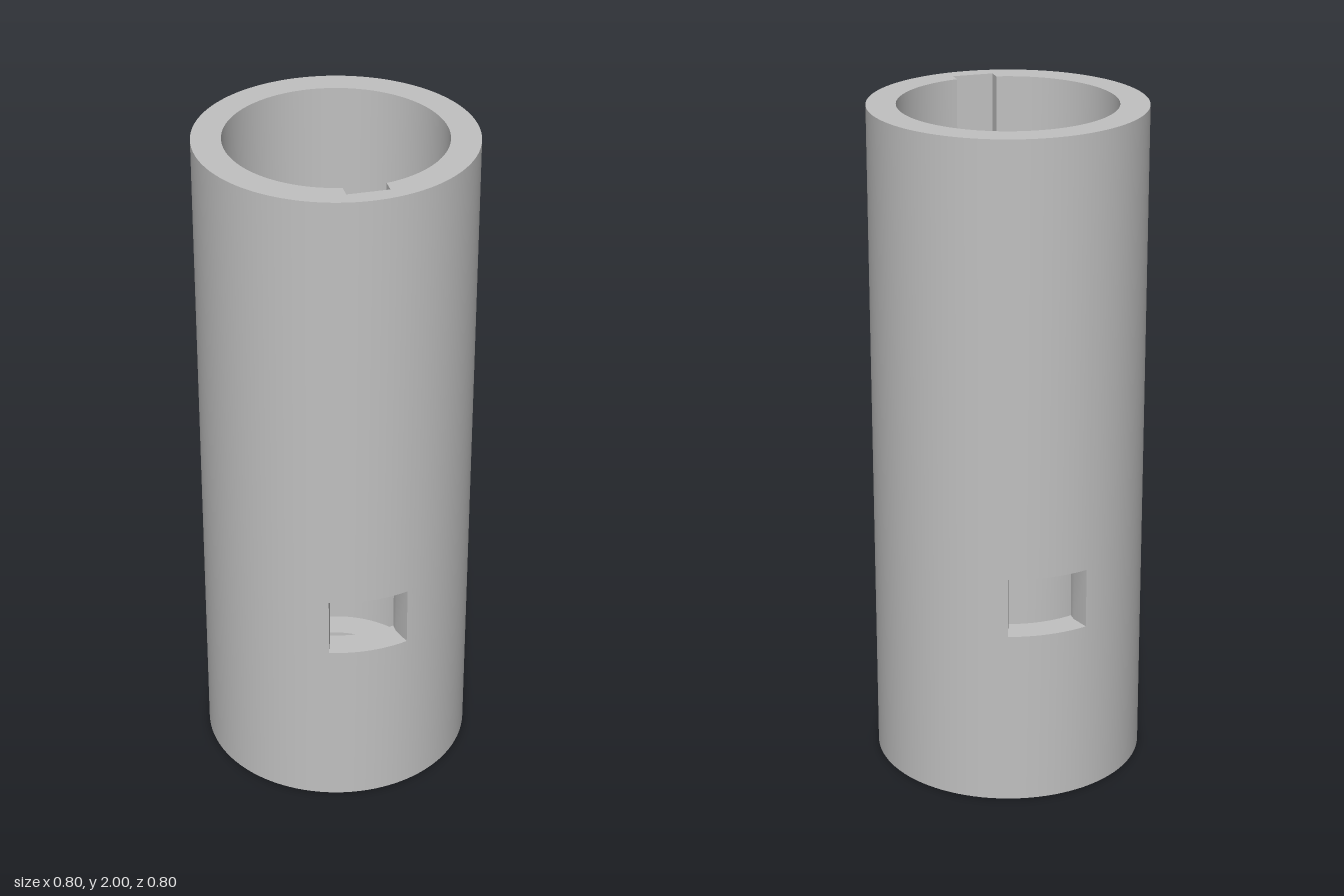
import * as THREE from 'three';
import { toCreasedNormals } from 'three/addons/utils/BufferGeometryUtils.js';

const OUTER = 0.4, BORE = 0.315, SEAT = 0.287, HOLE = 0.2;
const WIN_LOW = 0.53, WIN_HIGH = 0.71;            // window heights
const FLOOR = 0.155, LEDGE = 0.46, KEY_END = 1.0, TOP = 2;
const KEY_X = 0.06, KEY_Z = 0.348;                // keyway half width and depth
const THROAT_X = 0.1, THROAT_Z = 0.325;           // where window sides turn parallel
const w = Math.asin(0.118 / OUTER);               // window half angle outside
const wi = Math.asin(THROAT_X / BORE);            // window half angle at the bore
const k = Math.asin(KEY_X / BORE);                // keyway half angle

// Plan points [x, z]; angle runs from +z towards +x
const pt = (r, t) => [r * Math.sin(t), r * Math.cos(t)];
// Arc without its end point
const arc = (r, a, b, n) => Array.from({ length: n }, (_, i) => pt(r, a + (b - a) * i / n));
const turn = (pts) => pts.map(([x, z]) => [-x, -z]);

export function createModel() {
  const pos = [];

  // Vertical wall along a closed outline, facing outward or inward
  function wall(outline, y0, y1, inward = false) {
    const p = inward ? [...outline].reverse() : outline;
    p.forEach(([ax, az], i) => {
      const [bx, bz] = p[(i + 1) % p.length];
      pos.push(ax, y0, az, bx, y0, bz, bx, y1, bz, ax, y0, az, bx, y1, bz, ax, y1, az);
    });
  }

  // Horizontal face at height y, with an optional hole
  function cap(outline, hole, y, up = true) {
    const flat = (pts) => pts.map(([x, z]) => new THREE.Vector2(x, -z));
    const shape = new THREE.Shape(flat(outline));
    if (hole) shape.holes.push(new THREE.Path(flat(hole)));
    const g = new THREE.ShapeGeometry(shape).toNonIndexed();
    const a = g.attributes.position;
    for (let i = 0; i < a.count; i += 3) {
      for (const j of up ? [i, i + 1, i + 2] : [i, i + 2, i + 1]) pos.push(a.getX(j), y, -a.getY(j));
    }
  }

  // Plan outlines
  const P = Math.PI;
  const outer = [
    ...arc(OUTER, -w, w, 10), ...arc(OUTER, w, P - w, 40),
    ...arc(OUTER, P - w, P + w, 10), ...arc(OUTER, P + w, 2 * P - w, 40),
  ];
  const boreRest = [
    ...arc(BORE, k, wi, 2), ...arc(BORE, wi, P - wi, 40), ...arc(BORE, P - wi, P + wi, 10),
    ...arc(BORE, P + wi, 2 * P - wi, 40), ...arc(BORE, -wi, -k, 2),
  ];
  const bore = [...boreRest, ...arc(BORE, -k, k, 6)];
  const keyedBore = [...boreRest, pt(BORE, -k), [-KEY_X, KEY_Z], [KEY_X, KEY_Z]];
  const seat = arc(SEAT, 0, 2 * P, 96);
  const hole = arc(HOLE, 0, 2 * P, 96);
  const side = [
    ...arc(OUTER, w, P - w, 40), pt(OUTER, P - w), [THROAT_X, -THROAT_Z],
    ...arc(BORE, P - wi, wi, 40), pt(BORE, wi), [THROAT_X, THROAT_Z],
  ];
  const sill = [
    ...arc(OUTER, -w, w, 10), pt(OUTER, w), [THROAT_X, THROAT_Z],
    ...arc(BORE, wi, k, 2), ...arc(BORE, k, -k, 6), ...arc(BORE, -k, -wi, 2),
    pt(BORE, -wi), [-THROAT_X, THROAT_Z],
  ];
  const keyFloor = [[-KEY_X, KEY_Z], [KEY_X, KEY_Z], ...arc(BORE, k, -k, 6), pt(BORE, -k)];

  // Outside wall and the two pillars between the windows
  wall(outer, 0, WIN_LOW);
  wall(outer, WIN_HIGH, TOP);
  for (const s of [side, turn(side)]) wall(s, WIN_LOW, WIN_HIGH);

  // Window sills and lintels, front and back
  for (const s of [sill, turn(sill)]) {
    cap(s, null, WIN_LOW);
    cap(s, null, WIN_HIGH, false);
  }

  // Stepped bore with keyway
  wall(hole, 0, FLOOR, true);
  wall(seat, FLOOR, LEDGE, true);
  wall(bore, LEDGE, WIN_LOW, true);
  wall(bore, WIN_HIGH, KEY_END, true);
  wall(keyedBore, KEY_END, TOP, true);

  // Base, inner steps and rim
  cap(outer, hole, 0, false);
  cap(seat, hole, FLOOR);
  cap(bore, seat, LEDGE);
  cap(keyFloor, null, KEY_END);
  cap(outer, keyedBore, TOP);

  // Crease at a larger scale so close vertices stay distinct
  let geo = new THREE.BufferGeometry();
  geo.setAttribute('position', new THREE.Float32BufferAttribute(pos, 3));
  geo.scale(100, 100, 100);
  geo = toCreasedNormals(geo, 0.4);
  geo.scale(0.01, 0.01, 0.01);

  const steelGrey = new THREE.MeshStandardMaterial({ color: 0xc0c0c0 });
  steelGrey.name = 'steelGrey';
  const sleeve = new THREE.Mesh(geo, steelGrey);
  sleeve.name = 'slottedSleeve';
  const group = new THREE.Group();
  group.name = 'keyedSleeve';
  group.add(sleeve);
  return group;
}
